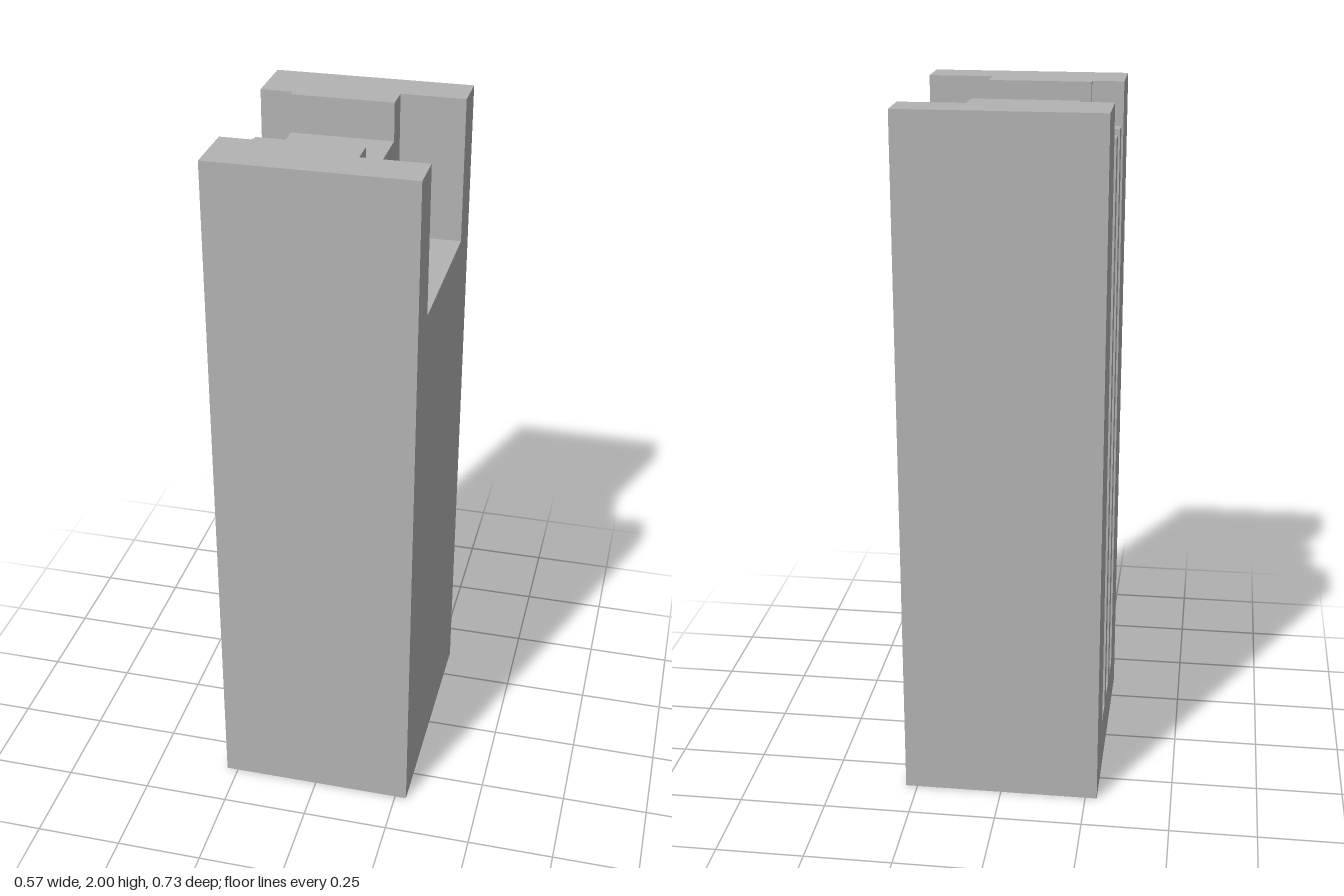
import * as THREE from 'three';
import { mergeGeometries } from 'three/addons/utils/BufferGeometryUtils.js';

const W = 0.284, D = 0.363, H = 2;           // half width, half depth, height
const channelZ = 0.17, channelY = 1.89;      // channel across the top
const pocketX = 0.1, pocketZ = 0.245, pocketY = 1.58;
const grooveX = -0.193, grooveY = 0.16;      // back wall and floor of the grooves
const gOut = 0.19, gMid = 0.1, gIn = 0.045;  // groove edges in z

// Maps flat 2D points into a plane: x -> (z, y), y -> (x, z), z -> (x, y)
const place = {
  x: (a, b, at) => [at, b, a],
  y: (a, b, at) => [a, at, b],
  z: (a, b, at) => [a, b, at],
};

// Flat polygon lying across an axis, facing along +axis or -axis
function face(axis, at, facing, points) {
  const shape = new THREE.Shape(points.map(([a, b]) => new THREE.Vector2(a, b)));
  const g = new THREE.ShapeGeometry(shape);
  const p = g.attributes.position;
  for (let i = 0; i < p.count; i++) p.setXYZ(i, ...place[axis](p.getX(i), p.getY(i), at));
  const natural = axis === 'z' ? 1 : -1;
  if (natural !== facing) {
    const ix = g.index.array;
    for (let i = 0; i < ix.length; i += 3) [ix[i], ix[i + 1]] = [ix[i + 1], ix[i]];
  }
  g.computeVertexNormals();
  return g;
}

const rect = (a0, b0, a1, b1) => [[a0, b0], [a1, b0], [a1, b1], [a0, b1]];

// Half outline in positive z, closed by its mirror image
const mirrored = (half) => [...half, ...half.map(([z, y]) => [-z, y]).reverse()];

export function createModel() {
  const model = new THREE.Group();
  const grey = new THREE.MeshStandardMaterial({ color: 0xb3b3b3 });
  grey.name = 'grey';
  const add = (name, faces) => {
    const mesh = new THREE.Mesh(mergeGeometries(faces), grey);
    mesh.name = name;
    model.add(mesh);
  };

  // Outer faces of the block
  const body = [
    face('y', 0, -1, rect(-W, -D, W, D)),
    face('x', W, 1, mirrored([[D, 0], [D, H], [pocketZ, H], [pocketZ, pocketY]])),
    face('x', -W, -1, mirrored([
      [D, 0], [D, H], [gOut, H], [gOut, grooveY], [gMid, grooveY],
      [gMid, channelY], [gIn, channelY], [gIn, grooveY],
    ])),
  ];
  for (const s of [-1, 1]) {
    body.push(face('z', s * D, s, rect(-W, 0, W, H)));
    // Top rim beside the channel
    body.push(face('y', H, 1, [
      [-W, gOut], [grooveX, gOut], [grooveX, channelZ], [pocketX, channelZ],
      [pocketX, pocketZ], [W, pocketZ], [W, D], [-W, D],
    ].map(([x, z]) => [x, s * z])));
  }
  add('body', body);

  // Channel floor, with two tongues between the grooves, and its walls
  const channel = [face('y', channelY, 1, [
    [grooveX, -channelZ], [pocketX, -channelZ], [pocketX, channelZ], [grooveX, channelZ],
    [grooveX, gMid], [-W, gMid], [-W, gIn], [grooveX, gIn],
    [grooveX, -gIn], [-W, -gIn], [-W, -gMid], [grooveX, -gMid],
  ])];
  for (const s of [-1, 1]) {
    channel.push(face('z', s * channelZ, -s, rect(grooveX, channelY, pocketX, H)));
  }
  add('topChannel', channel);

  // Deep pocket on the left side
  const pocket = [
    face('y', pocketY, 1, rect(pocketX, -pocketZ, W, pocketZ)),
    face('x', pocketX, 1, mirrored([
      [pocketZ, pocketY], [pocketZ, H], [channelZ, H], [channelZ, channelY],
    ])),
  ];
  for (const s of [-1, 1]) {
    pocket.push(face('z', s * pocketZ, -s, rect(pocketX, pocketY, W, H)));
  }
  add('sidePocket', pocket);

  // Middle groove
  add('middleGroove', [
    face('y', grooveY, 1, rect(-W, -gIn, grooveX, gIn)),
    face('x', grooveX, -1, rect(-gIn, grooveY, gIn, channelY)),
    face('z', gIn, -1, rect(-W, grooveY, grooveX, channelY)),
    face('z', -gIn, 1, rect(-W, grooveY, grooveX, channelY)),
  ]);

  // Outer grooves, whose far walls rise to the rim
  for (const s of [-1, 1]) {
    add(s > 0 ? 'frontGroove' : 'backGroove', [
      face('y', grooveY, 1, rect(-W, s * gMid, grooveX, s * gOut)),
      face('x', grooveX, -1, [
        [gMid, grooveY], [gOut, grooveY], [gOut, H],
        [channelZ, H], [channelZ, channelY], [gMid, channelY],
      ].map(([z, y]) => [s * z, y])),
      face('z', s * gOut, -s, rect(-W, grooveY, grooveX, H)),
      face('z', s * gMid, s, rect(-W, grooveY, grooveX, channelY)),
    ]);
  }
  return model;
}
